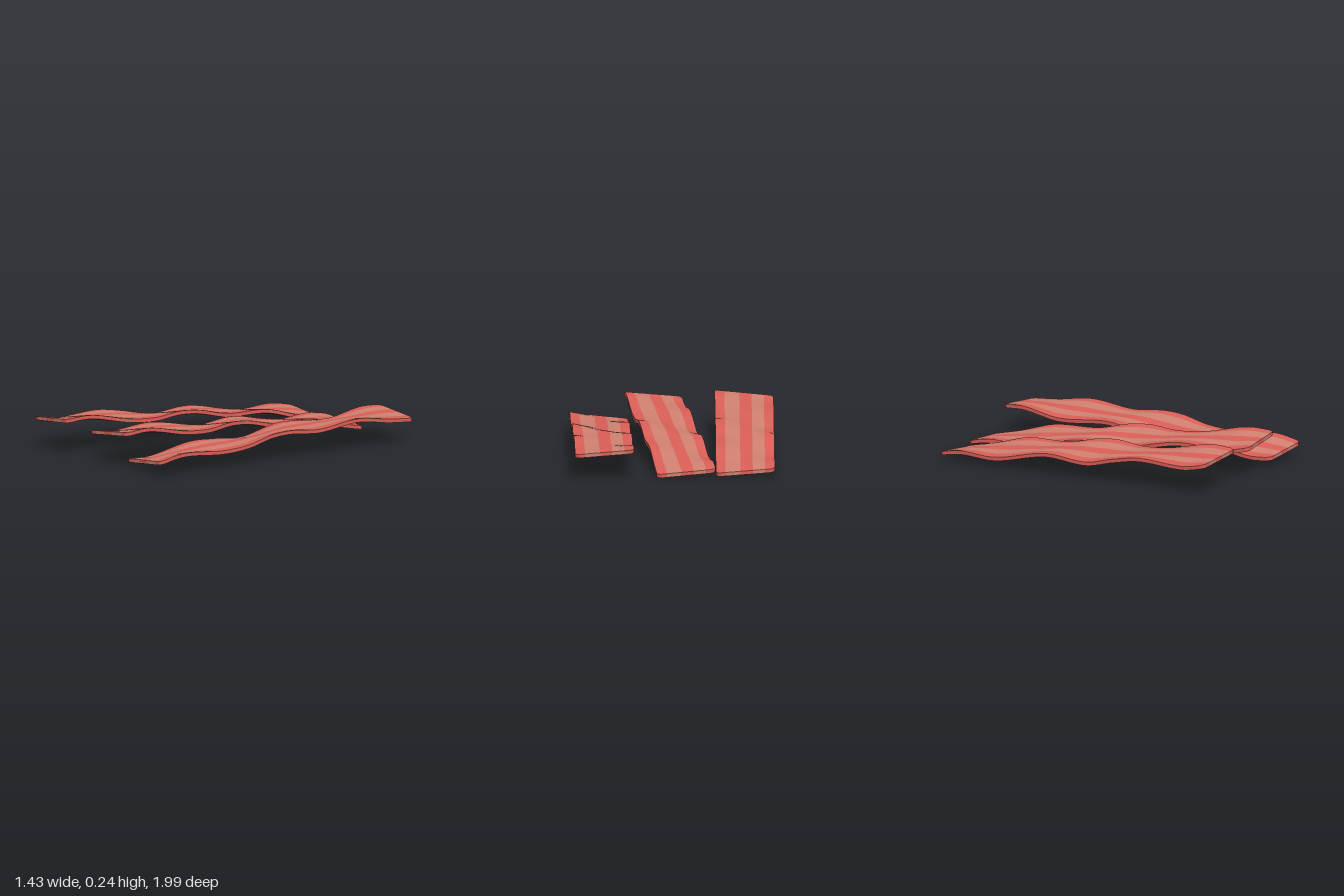
import * as THREE from 'three';

const HALF_W = 0.187, HALF_L = 0.985, THICK = 0.028, CORNER = 0.03;
const NX = 24, NZ = 80;

const red = new THREE.MeshStandardMaterial({ color: 0xd95f57 });
const pale = new THREE.MeshStandardMaterial({ color: 0xd08070 });

// Lengthwise meat and fat bands, as column ranges across the width
const BANDS = [
  ['meatBand', 0, 4, red],
  ['fatBand', 4, 9, pale],
  ['meatBand', 9, 14, red],
  ['fatBand', 14, 20, pale],
  ['meatBand', 20, 24, red],
];

// Rippled top edges of a level strip, as [z, height] from back to front
const RIGHT_EDGE = [[-1, 0.15], [-0.83, 0.16], [-0.57, 0.125], [-0.2, 0.159], [0.1, 0.111],
  [0.3, 0.134], [0.5, 0.146], [0.82, 0.101], [1, 0.115]];
const LEFT_EDGE = [[-1, 0.12], [-0.8, 0.143], [-0.55, 0.185], [-0.25, 0.165], [-0.03, 0.191],
  [0.12, 0.187], [0.3, 0.151], [0.5, 0.145], [0.8, 0.175], [1, 0.148]];

// Smooth curve through [z, height] keys
function edgeHeight(keys, z) {
  const last = keys.length - 1;
  let i = 0;
  while (i < last - 1 && z > keys[i + 1][0]) i++;
  const slopeAt = (k) => {
    const a = keys[Math.max(0, k - 1)], b = keys[Math.min(last, k + 1)];
    return (b[1] - a[1]) / (b[0] - a[0]);
  };
  const [z0, h0] = keys[i], [z1, h1] = keys[i + 1];
  const d = z1 - z0, t = (z - z0) / d, s = 1 - t;
  return h0 * (1 + 2 * t) * s * s + h1 * (3 - 2 * t) * t * t
    + d * t * s * (slopeAt(i) * s - slopeAt(i + 1) * t);
}

// A flat slab with rounded corners, bent so it runs straight from edge to edge
function stripGeometry(slope) {
  const geo = new THREE.BoxGeometry(2 * HALF_W, THICK, 2 * HALF_L, NX, 1, NZ);
  const p = geo.attributes.position;
  for (let i = 0; i < p.count; i++) {
    const x = p.getX(i), z0 = p.getZ(i);
    const q = Math.max(0, (Math.abs(x) - (HALF_W - CORNER)) / CORNER);
    const cut = CORNER * (1 - Math.sqrt(Math.max(0, 1 - q * q)));
    const z = z0 * (1 - cut / HALF_L);
    const rim = Math.abs(x) > HALF_W - 0.001 || Math.abs(z0) > HALF_L - 0.001;
    const top = THREE.MathUtils.lerp(edgeHeight(RIGHT_EDGE, z), edgeHeight(LEFT_EDGE, z),
      (x / HALF_W + 1) / 2) + slope * z;
    p.setXYZ(i, x, top - THICK / 2 + p.getY(i) * (rim ? 0.85 : 1), z);
  }
  geo.computeVertexNormals();
  return geo;
}

// Splits one strip into its coloured bands, sharing the same smooth normals
function makeStrip(name, x, yaw, slope) {
  const strip = new THREE.Group();
  strip.name = name;
  const geo = stripGeometry(slope);
  const p = geo.attributes.position, index = geo.index;
  for (const [bandName, from, to, material] of BANDS) {
    const kept = [];
    for (let i = 0; i < index.count; i += 3) {
      const tri = [index.getX(i), index.getX(i + 1), index.getX(i + 2)];
      const mid = tri.reduce((sum, v) => sum + p.getX(v), 0) / 3;
      const column = THREE.MathUtils.clamp((mid / HALF_W + 1) * NX / 2, 0.1, NX - 0.1);
      if (column > from && column < to) kept.push(...tri);
    }
    const band = geo.clone();
    band.clearGroups();
    band.setIndex(kept);
    const mesh = new THREE.Mesh(band, material);
    mesh.name = bandName;
    strip.add(mesh);
  }
  strip.position.x = x;
  strip.rotation.y = yaw;
  return strip;
}

export function createModel() {
  const model = new THREE.Group();
  model.name = 'baconStrips';
  // Two strips rise toward the front, the third rises toward the back
  model.add(
    makeStrip('rightStrip', -0.45, -0.087, 0.09),
    makeStrip('middleStrip', 0.028, 0.018, 0.09),
    makeStrip('leftStrip', 0.46, -0.071, -0.045),
  );
  return model;
}
